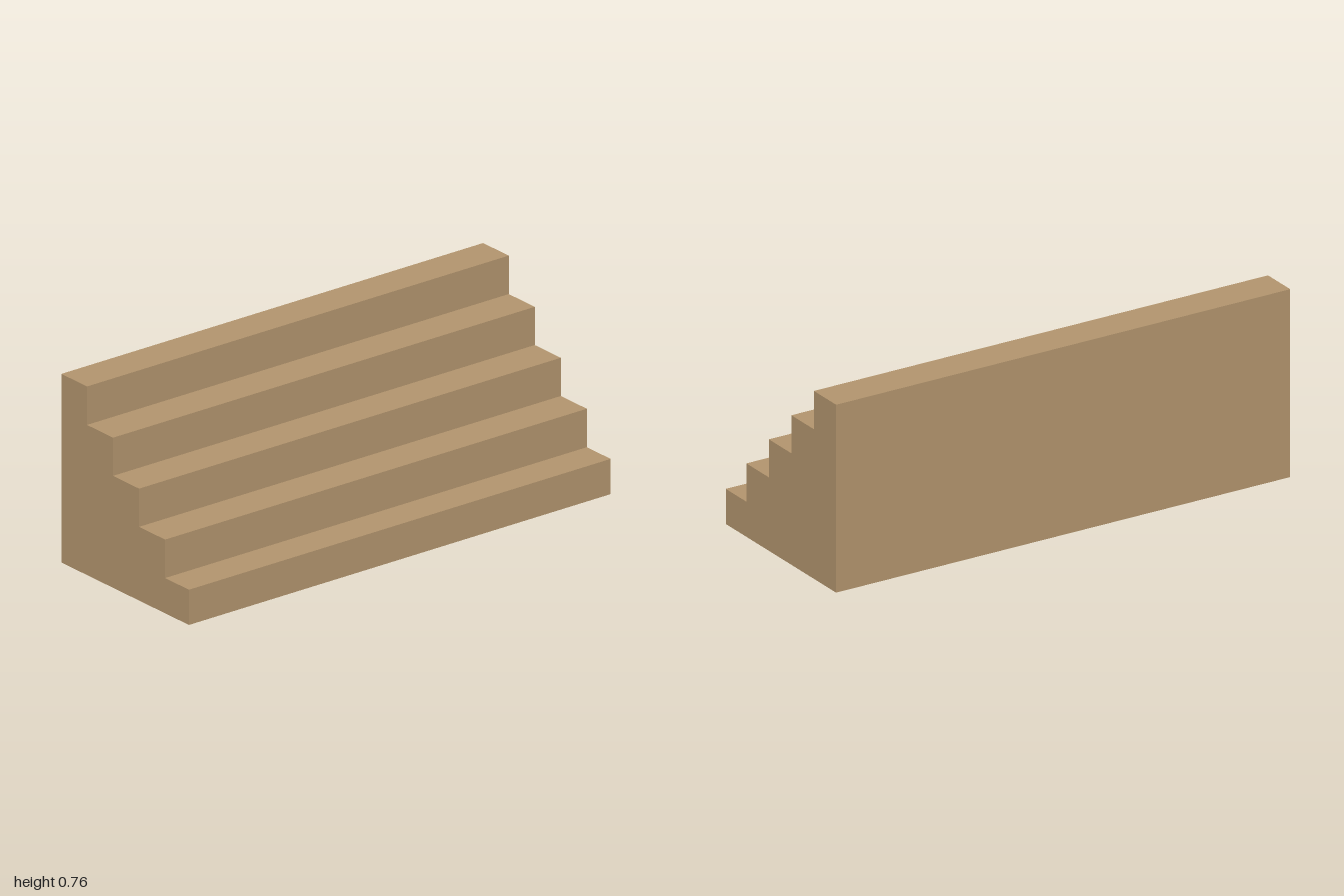
import * as THREE from 'three';

const WIDTH = 2;
const BACK = -0.38;
// front edge z and top y of each step, from the bottom up
const STEPS = [[0.38, 0.142], [0.238, 0.297], [0.083, 0.451], [-0.072, 0.605], [-0.227, 0.76]];

export function createModel() {
  const group = new THREE.Group();
  group.name = 'staircase';
  const wood = new THREE.MeshStandardMaterial({ color: 0xb3956e, side: THREE.DoubleSide });
  wood.name = 'tan wood';

  const add = (name, geometry, x, y, z) => {
    const mesh = new THREE.Mesh(geometry, wood);
    mesh.name = name;
    mesh.position.set(x, y, z);
    group.add(mesh);
    return mesh;
  };

  // risers and treads: a thin shell, open underneath
  let floor = 0;
  STEPS.forEach(([z, top], i) => {
    const next = i + 1 < STEPS.length ? STEPS[i + 1][0] : BACK;
    add('riser' + (i + 1), new THREE.PlaneGeometry(WIDTH, top - floor), 0, (top + floor) / 2, z);
    const tread = new THREE.PlaneGeometry(WIDTH, z - next).rotateX(-Math.PI / 2);
    add('tread' + (i + 1), tread, 0, top, (z + next) / 2);
    floor = top;
  });

  // back wall
  add('backWall', new THREE.PlaneGeometry(WIDTH, floor).rotateY(Math.PI), 0, floor / 2, BACK);

  // stepped side walls, drawn with z mirrored so the +x wall faces outward
  const profile = new THREE.Shape();
  profile.moveTo(-BACK, 0);
  profile.lineTo(-BACK, floor);
  for (let i = STEPS.length - 1; i >= 0; i--) {
    const [z, top] = STEPS[i];
    profile.lineTo(-z, top);
    profile.lineTo(-z, i > 0 ? STEPS[i - 1][1] : 0);
  }
  profile.closePath();
  add('leftWall', new THREE.ShapeGeometry(profile).rotateY(Math.PI / 2), WIDTH / 2, 0, 0);

  // opposite wall: same outline with z unmirrored
  const mirrored = new THREE.Shape(profile.getPoints().map((p) => new THREE.Vector2(-p.x, p.y)));
  add('rightWall', new THREE.ShapeGeometry(mirrored).rotateY(-Math.PI / 2), -WIDTH / 2, 0, 0);

  return group;
}
